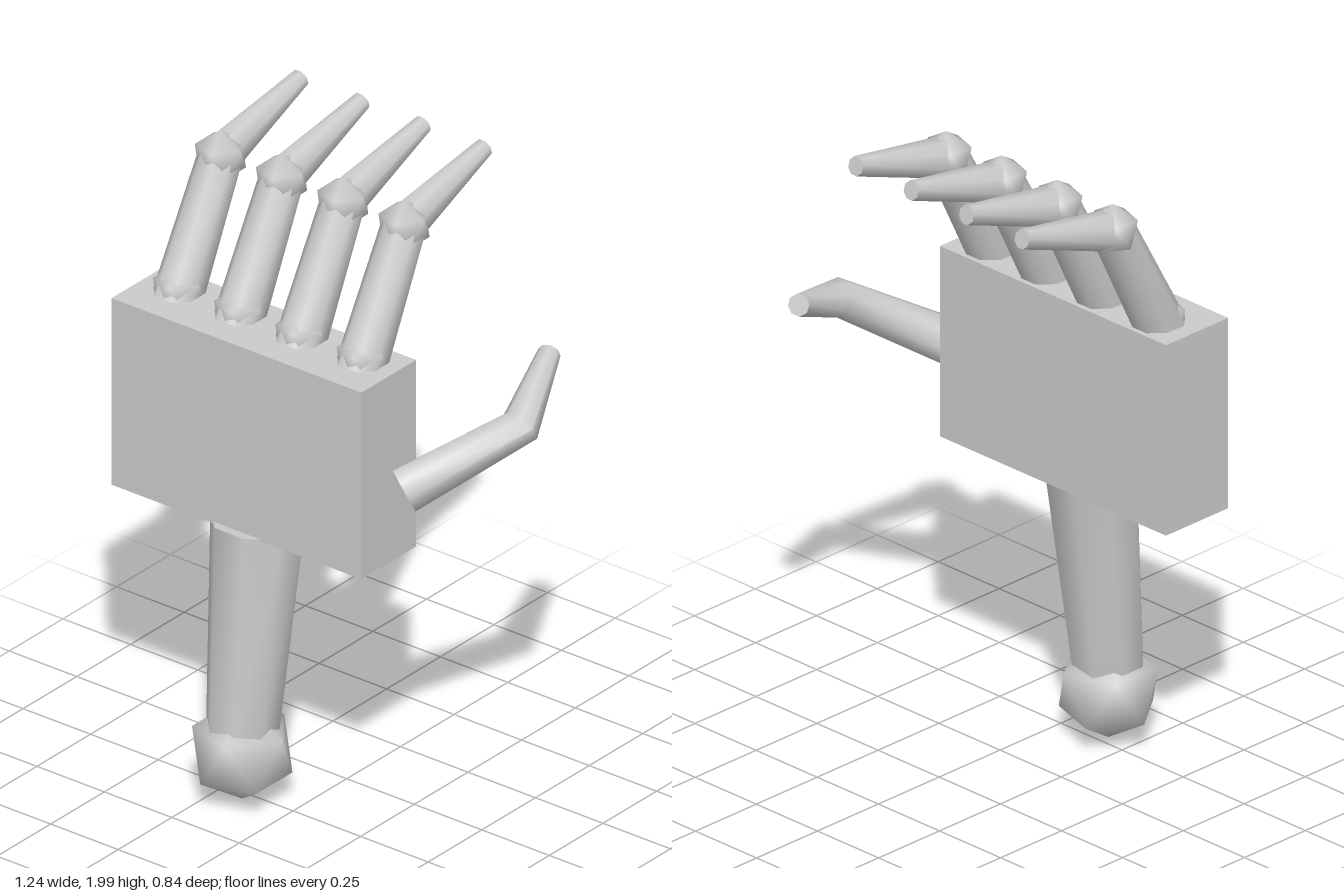
import * as THREE from 'three';
import { toCreasedNormals, mergeVertices } from 'three/addons/utils/BufferGeometryUtils.js';

const material = new THREE.MeshStandardMaterial({ color: 0xcccccc });
const V = (x, y, z) => new THREE.Vector3(x, y, z);

function part(name, geometry) {
  const mesh = new THREE.Mesh(geometry, material);
  mesh.name = name;
  return mesh;
}

// Tapered eight-sided limb through the given points, with mitred bends.
function limb(name, points, radii) {
  const last = points.length - 1;
  const dirs = points.slice(1).map((p, i) => p.clone().sub(points[i]).normalize());
  const u = dirs[0].clone().cross(V(0, 0, 1)).normalize();
  const v = u.clone().cross(dirs[0]);
  const geo = new THREE.CylinderGeometry(1, 1, 1, 8, last, false, Math.PI / 8);
  const pos = geo.attributes.position;
  for (let i = 0; i < pos.count; i++) {
    const row = Math.round((pos.getY(i) + 0.5) * last);
    const offset = u.clone().multiplyScalar(pos.getX(i)).addScaledVector(v, pos.getZ(i));
    // slide the outline along each segment until it meets the next joint plane
    for (let k = 1; k <= row; k++) {
      const d = dirs[k - 1];
      const normal = d.clone().add(dirs[Math.min(k, last - 1)]).normalize();
      offset.addScaledVector(d, -offset.dot(normal) / d.dot(normal));
    }
    const p = points[row].clone().addScaledVector(offset, radii[row]);
    pos.setXYZ(i, p.x, p.y, p.z);
  }
  return part(name, toCreasedNormals(geo, 1.2));
}

// Smooth-shaded icosahedron joint standing on one of its points.
function joint(name, center, r) {
  const pts = [0, r, 0];
  const h = r / Math.sqrt(5);
  for (let k = 0; k < 10; k++) {
    const a = (k * Math.PI) / 5; // even points form the upper ring, odd the lower
    pts.push(2 * h * Math.cos(a), k % 2 ? -h : h, 2 * h * Math.sin(a));
  }
  pts.push(0, -r, 0);
  const index = [];
  for (let k = 0; k < 10; k += 2) {
    const up = 1 + k, low = 2 + k, upNext = 1 + ((k + 2) % 10), lowNext = 1 + ((k + 3) % 10);
    index.push(0, upNext, up, up, upNext, low, low, upNext, lowNext, 11, low, lowNext);
  }
  const geo = new THREE.BufferGeometry();
  geo.setAttribute('position', new THREE.Float32BufferAttribute(pts, 3));
  geo.setIndex(index);
  const smooth = mergeVertices(geo);
  smooth.computeVertexNormals();
  const mesh = part(name, smooth);
  mesh.position.copy(center);
  return mesh;
}

function finger(x) {
  const group = new THREE.Group();
  group.name = 'finger';
  const base = V(0, 1.515, 0.155), knuckle = V(0, 1.873, -0.04), tip = V(0, 1.972, -0.412);
  group.add(
    joint('fingerBaseJoint', base, 0.083),
    limb('lowerFingerBone', [V(0, 1.48, 0.165), knuckle], [0.077, 0.067]),
    joint('knuckle', knuckle, 0.083),
    limb('upperFingerBone', [knuckle, tip], [0.064, 0.03])
  );
  group.position.x = x;
  return group;
}

export function createModel() {
  const hand = new THREE.Group();
  hand.name = 'hand';

  // palm block
  const palm = part('palm', new THREE.BoxGeometry(0.925, 0.615, 0.255));
  palm.position.set(-0.162, 1.2025, 0.1825);
  hand.add(palm);

  // forearm and the joint at its lower end
  const elbow = V(-0.162, 0.168, 0.283);
  hand.add(joint('elbowJoint', elbow, 0.163));
  hand.add(limb('forearm', [V(-0.162, 0.2, 0.285), V(-0.162, 0.89, 0.213)], [0.108, 0.142]));

  // four fingers
  for (let i = 0; i < 4; i++) hand.add(finger(-0.5 + i * 0.2267));

  // bent thumb
  hand.add(limb('thumb',
    [V(0.345, 1.14, 0.165), V(0.56, 1.31, -0.105), V(0.46, 1.41, -0.365)],
    [0.073, 0.058, 0.034]));

  return hand;
}
